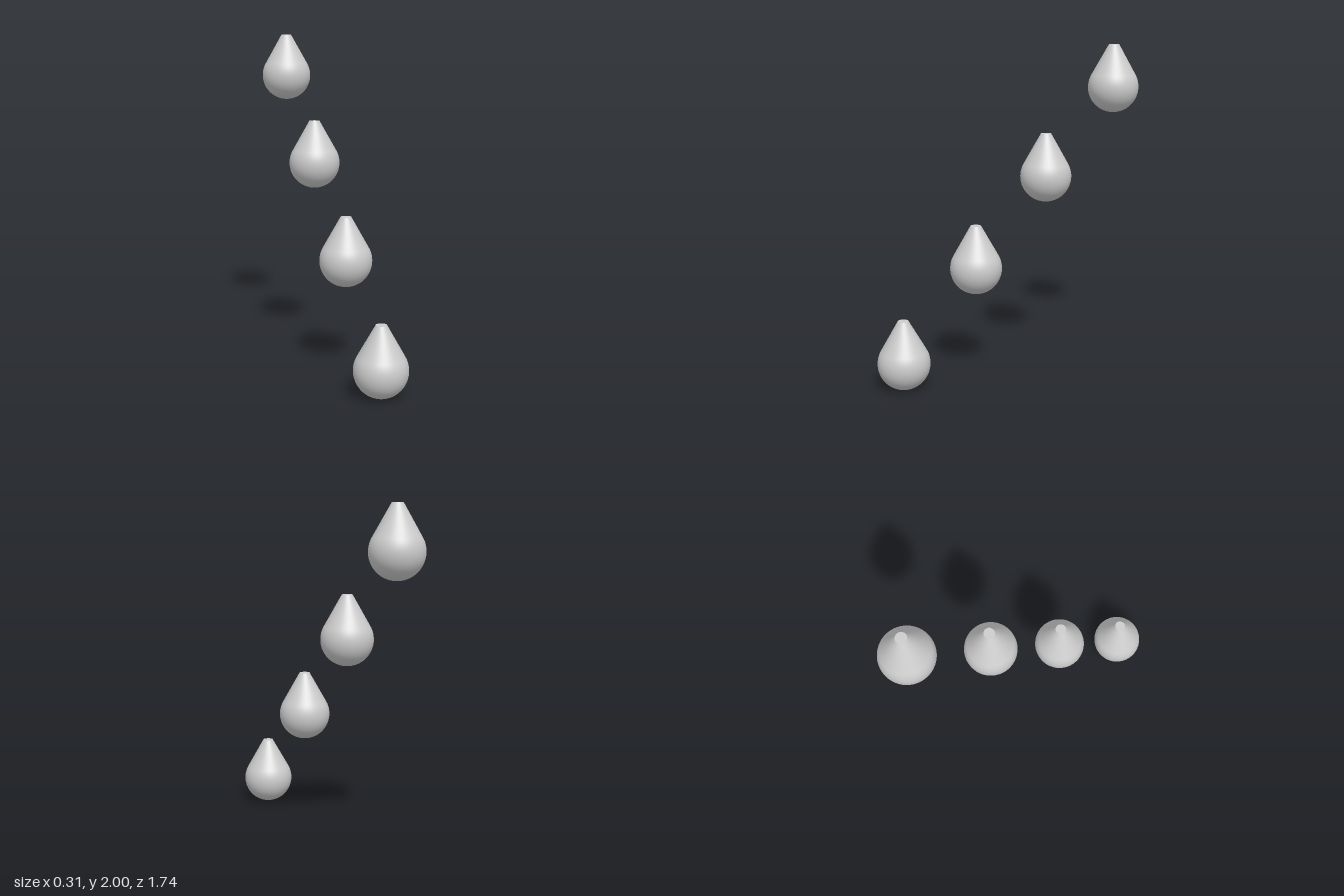
import * as THREE from 'three';

const R = 0.157, HEIGHT = 0.42, TIP = 0.032; // bulb radius, drop height, flat tip radius
const COUNT = 4, STEP_Y = (2 - HEIGHT) / (COUNT - 1), STEP_Z = 0.4765;

export function createModel() {
  const group = new THREE.Group();
  const material = new THREE.MeshStandardMaterial({ color: 0xcccccc });

  // Round bulb up to the point where the straight cone leaves it tangentially
  const rise = HEIGHT - R;
  const tangent = Math.atan2(rise, TIP) - Math.acos(R / Math.hypot(TIP, rise));
  const profile = [];
  const steps = 24;
  for (let i = 0; i <= steps; i++) {
    const a = -Math.PI / 2 + (tangent + Math.PI / 2) * (i / steps);
    profile.push(new THREE.Vector2(i === 0 ? 0 : R * Math.cos(a), R + R * Math.sin(a)));
  }
  profile.push(new THREE.Vector2(TIP, HEIGHT));
  const bodyGeometry = new THREE.LatheGeometry(profile, 48);

  // Flat disc closing the tip
  const capGeometry = new THREE.CircleGeometry(TIP, 48);
  capGeometry.rotateX(-Math.PI / 2).translate(0, HEIGHT, 0);

  // Row of drops rising from front to back
  for (let i = 0; i < COUNT; i++) {
    const drop = new THREE.Group();
    drop.name = `drop${i + 1}`;
    const body = new THREE.Mesh(bodyGeometry, material);
    body.name = 'dropBody';
    const cap = new THREE.Mesh(capGeometry, material);
    cap.name = 'tipCap';
    drop.add(body, cap);
    drop.position.set(0, i * STEP_Y, ((COUNT - 1) / 2 - i) * STEP_Z);
    group.add(drop);
  }
  return group;
}
